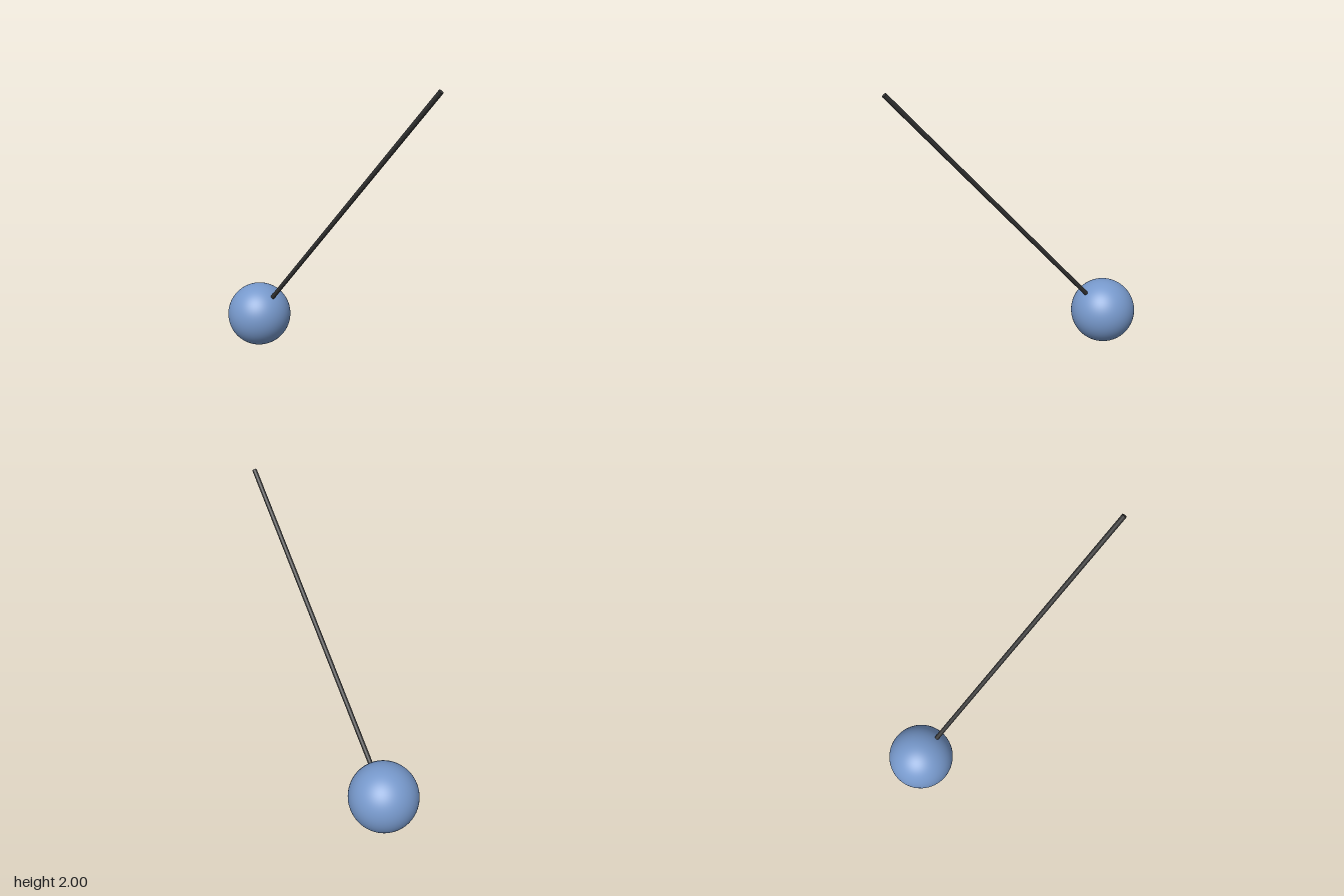
import * as THREE from 'three';

export function createModel() {
  const model = new THREE.Group();
  model.name = 'pendulum';

  const bobCentre = new THREE.Vector3(-0.715, 0.238, 0);
  const rodEnd = new THREE.Vector3(0.941, 1.989, 0);

  // Round weight
  const bob = new THREE.Mesh(
    new THREE.SphereGeometry(0.238, 64, 40),
    new THREE.MeshStandardMaterial({ color: 0x7799cc })
  );
  bob.name = 'bob';
  bob.position.copy(bobCentre);
  model.add(bob);

  // Thin straight rod running out from the middle of the weight
  const along = rodEnd.clone().sub(bobCentre);
  const rod = new THREE.Mesh(
    new THREE.CylinderGeometry(0.016, 0.016, along.length(), 24),
    new THREE.MeshStandardMaterial({ color: 0x333333 })
  );
  rod.name = 'rod';
  rod.position.copy(bobCentre).lerp(rodEnd, 0.5);
  rod.quaternion.setFromUnitVectors(new THREE.Vector3(0, 1, 0), along.normalize());
  model.add(rod);

  return model;
}
